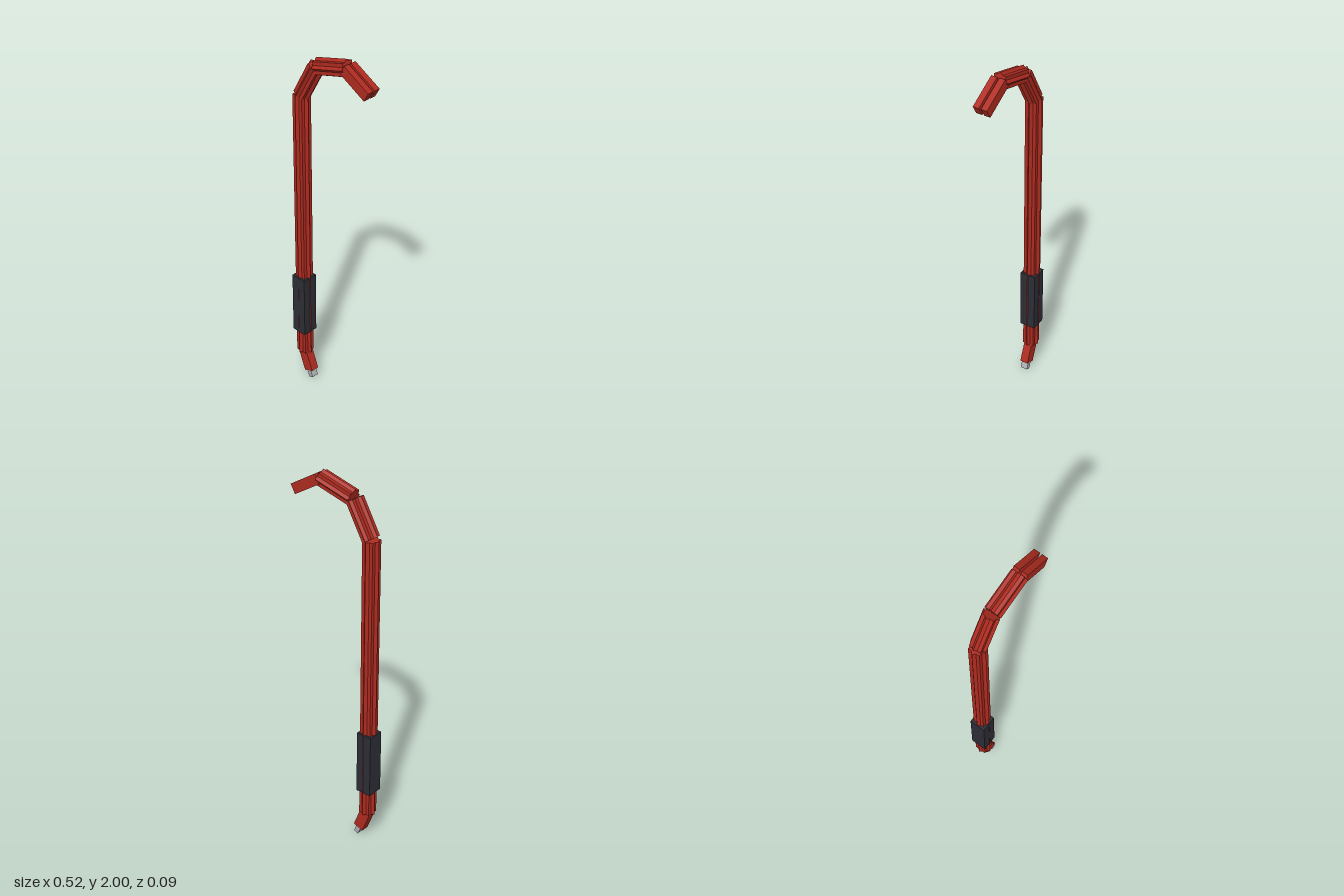
import * as THREE from 'three';

export function createModel() {
  const group = new THREE.Group();
  const red = new THREE.MeshStandardMaterial({ color: 0xaf2b20 });
  red.name = 'red paint';
  const dark = new THREE.MeshStandardMaterial({ color: 0x2d2e36 });
  dark.name = 'dark grip';
  const steel = new THREE.MeshStandardMaterial({ color: 0xacb0b2 });
  steel.name = 'bare steel';

  // Bar running between two points of the xy plane, at depth z
  function bar(name, from, to, width, depth, material, z = 0, twist = 0) {
    const dx = to[0] - from[0], dy = to[1] - from[1];
    const geometry = new THREE.BoxGeometry(width, Math.hypot(dx, dy), depth);
    geometry.rotateY(twist);
    const mesh = new THREE.Mesh(geometry, material);
    mesh.name = name;
    mesh.position.set((from[0] + to[0]) / 2, (from[1] + to[1]) / 2, z);
    mesh.rotation.z = Math.atan2(-dx, dy);
    group.add(mesh);
  }

  // Fluted rod: two square bars crossed at 45 degrees (eight-pointed section)
  const SIDE = 0.0637;
  function flutedRod(name, from, to) {
    bar(name + 'Square', from, to, SIDE, SIDE, red);
    bar(name + 'Diamond', from, to, SIDE, SIDE, red, 0, Math.PI / 4);
  }

  // Shaft and the two bent segments of the hook
  flutedRod('shaft', [-0.213, 0.16], [-0.213, 1.72]);
  flutedRod('lowerHook', [-0.209, 1.722], [-0.108, 1.9]);
  flutedRod('upperHook', [-0.101, 1.902], [0.096, 1.955]);

  // Forked claw
  for (const [name, z] of [['leftProng', 0.021], ['rightProng', -0.023]]) {
    bar(name, [0.091, 1.957], [0.244, 1.869], 0.054, 0.0325, red, z);
  }

  // Hand grip, just letting the shaft ridges through on two sides
  bar('grip', [-0.2145, 0.3], [-0.2145, 0.655], 0.0875, 0.0875, dark, 0.0005);

  // Bent foot with its steel tip
  bar('foot', [-0.217, 0.175], [-0.167, 0.045], 0.06, 0.046, red);
  bar('steelTip', [-0.169, 0.05], [-0.151, 0.005], 0.027, 0.04, steel);

  return group;
}
